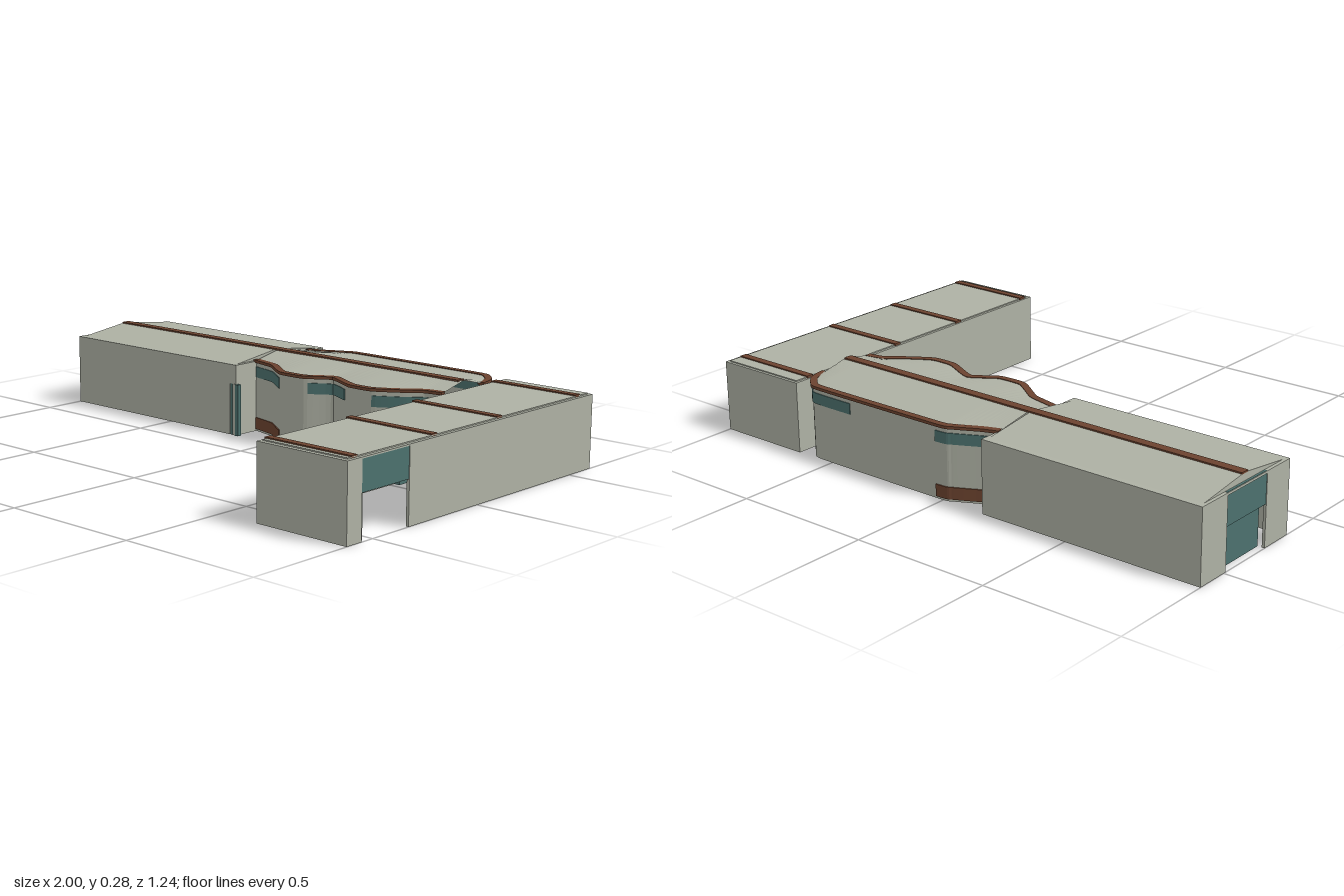
import * as THREE from 'three';

const make = (name, color) => new THREE.MeshStandardMaterial({ name, color, side: THREE.DoubleSide });

export function createModel() {
  const group = new THREE.Group();
  const grey = make('warm grey', 0xaeb1a4);
  const brown = make('rust brown', 0x6c432f);
  const teal = make('dark teal', 0x4c716e);

  const add = (name, geo, mat) => {
    const m = new THREE.Mesh(geo, mat);
    m.name = name;
    group.add(m);
    return m;
  };
  // Box from its limits
  const box = (name, mat, x0, x1, y0, y1, z0, z1) => {
    const g = new THREE.BoxGeometry(x1 - x0, y1 - y0, z1 - z0);
    g.translate((x0 + x1) / 2, (y0 + y1) / 2, (z0 + z1) / 2);
    return add(name, g, mat);
  };
  // Upright strip of thickness t that follows a plan path of [x, z] points
  const strip = (name, mat, pts, t, y0, y1) => {
    const side = s => pts.map((p, i) => {
      const a = pts[Math.max(0, i - 1)], b = pts[Math.min(pts.length - 1, i + 1)];
      const dx = b[0] - a[0], dz = b[1] - a[1], l = Math.hypot(dx, dz);
      return new THREE.Vector2(p[0] - s * dz / l * t / 2, -(p[1] + s * dx / l * t / 2));
    });
    const shape = new THREE.Shape([...side(1), ...side(-1).reverse()]);
    const g = new THREE.ExtrudeGeometry(shape, { depth: y1 - y0, bevelEnabled: false });
    g.rotateX(-Math.PI / 2).translate(0, y0, 0);
    return add(name, g, mat);
  };
  const smooth = (pts, n) => new THREE.CatmullRomCurve3(
    pts.map(p => new THREE.Vector3(p[0], 0, p[1])), false, 'catmullrom', 0.25)
    .getPoints(n).map(v => [v.x, v.z]);

  const W = 0.01, H = 0.25, RIDGE = -0.385;

  // West hall: walls, with openings in both ends
  box('hallBackWall', grey, -1, -0.17, 0, H, -0.62, -0.62 + W);
  box('hallFrontWall', grey, -1, -0.2, 0, H, -0.155 - W, -0.155);
  box('hallFrontLintel', grey, -0.2, -0.17, 0.185, H, -0.155 - W, -0.155);
  for (const x of [-1, -0.18]) {
    box('hallEndWall', grey, x, x + W, 0, H, -0.62, -0.49);
    box('hallEndWall', grey, x, x + W, 0, H, -0.28, -0.165);
  }
  box('hallEndGlazing', teal, -0.998, -0.99, 0.145, H + 0.005, -0.49, -0.28);
  box('hallEndDoor', teal, -0.975, -0.967, 0, 0.15, -0.49, -0.28);
  box('hallInnerGlazing', teal, -0.178, -0.17, 0.14, H + 0.005, -0.49, -0.28);
  box('cornerDoor', teal, -0.2, -0.185, 0, 0.185, -0.165, -0.157);
  box('cornerPost', grey, -0.185, -0.17, 0, 0.185, -0.165, -0.153);
  box('cornerDoorEdge', teal, -0.17, -0.157, 0, 0.185, -0.165, -0.15);

  // Hall roof: shallow gable standing on a thin eave plate
  box('hallEave', grey, -1, -0.17, H - 0.004, H + 0.004, -0.62, -0.155);
  const gable = new THREE.Shape([[0.161, 0.252], [0.365, 0.279], [0.405, 0.279], [0.613, 0.252]]
    .map(p => new THREE.Vector2(...p)));
  const gableGeo = new THREE.ExtrudeGeometry(gable, { depth: 0.805, bevelEnabled: false });
  gableGeo.rotateY(-Math.PI / 2).rotateY(Math.PI);
  gableGeo.translate(-0.988, 0, 0);
  add('hallRoof', gableGeo, grey);
  box('ridgeStripe', brown, -0.988, 0.64, 0.278, 0.284, RIDGE - 0.016, RIDGE + 0.016);

  // Hall interior: shelves, counter and tables
  for (const y of [0.09, 0.15]) box('shelf', brown, -0.6, -0.32, y, y + 0.012, -0.2, -0.165);
  for (const x of [-0.58, -0.46, -0.34]) box('shelfPost', teal, x - 0.015, x + 0.015, 0, 0.16, -0.185, -0.165);
  for (let i = 0; i < 4; i++) box('table', brown, -0.64 - i * 0.095, -0.58 - i * 0.095, 0.07, 0.08, -0.53, -0.47);

  // Winding middle building
  const front = smooth([[-0.175, -0.265], [-0.11, -0.25], [-0.06, -0.235], [0.04, -0.167], [0.14, -0.167],
    [0.23, -0.222], [0.35, -0.167], [0.44, -0.167], [0.53, -0.222], [0.585, -0.265], [0.65, -0.278]], 60);
  const back = smooth([[-0.175, -0.535], [-0.12, -0.555], [-0.03, -0.6], [0.02, -0.61], [0.54, -0.61],
    [0.59, -0.595], [0.625, -0.56], [0.64, -0.52], [0.645, -0.49]], 50);
  const between = (path, a, b) => path.filter(p => p[0] >= a && p[0] <= b);
  strip('middleFrontWall', grey, front, 0.01, 0, H);
  strip('middleBackWall', grey, back, 0.01, 0, H);
  for (const path of [front, back]) strip('coping', brown, path, 0.024, H, H + 0.01);

  // Window bands and plinths
  for (const [a, b] of [[-0.17, 0.035], [0.145, 0.335], [0.435, 0.645]]) {
    strip('windowBand', teal, between(front, a, b), 0.016, 0.197, 0.235);
    strip('plinth', brown, between(front, a, b), 0.018, 0.008, 0.05);
  }
  strip('windowBand', teal, between(back, -0.17, 0.05), 0.016, 0.197, 0.235);
  strip('windowBand', teal, between(back, 0.4, 0.65), 0.016, 0.197, 0.235);
  strip('plinth', brown, between(back, -0.17, 0.05), 0.018, 0.008, 0.05);

  // Middle roof: surfaces running from each winding edge up to the ridge
  const loft = (path, flip) => {
    const v = [];
    for (let i = 0; i + 1 < path.length; i++) {
      const [p, q] = flip ? [path[i + 1], path[i]] : [path[i], path[i + 1]];
      const a = [p[0], 0.256, p[1]], b = [q[0], 0.256, q[1]];
      const c = [q[0], 0.281, RIDGE], d = [p[0], 0.281, RIDGE];
      v.push(...a, ...b, ...c, ...a, ...c, ...d);
    }
    const g = new THREE.BufferGeometry();
    g.setAttribute('position', new THREE.Float32BufferAttribute(v, 3));
    g.computeVertexNormals();
    add('middleRoof', g, grey);
  };
  loft(front, false);
  loft(back, true);

  // East wing: walls with a side entrance and a passage to the middle
  box('wingBackWall', grey, 0.65, 1, 0, H, -0.62, -0.62 + W);
  box('wingFrontWall', grey, 0.65, 1, 0, H, 0.615 - W, 0.615);
  box('wingOuterWall', grey, 1 - W, 1, 0, H, -0.61, 0.335);
  box('wingOuterWall', grey, 1 - W, 1, 0, H, 0.55, 0.605);
  box('entranceJamb', grey, 0.965, 0.99, 0, H, 0.535, 0.55);
  box('entranceGlazing', teal, 0.99, 0.998, 0.145, H, 0.335, 0.55);
  box('wingInnerWall', grey, 0.65, 0.65 + W, 0, H, -0.61, -0.49);
  box('wingInnerWall', grey, 0.65, 0.65 + W, 0, H, -0.278, 0.605);
  box('passageLintel', grey, 0.65, 0.65 + W, 0.2, H, -0.49, -0.278);

  // Wing roof with cross stripes
  box('wingRoof', grey, 0.65, 1, H - 0.004, H + 0.001, -0.62, 0.615);
  box('wingRoofPanel', grey, 0.66, 0.988, H, 0.255, -0.61, 0.6);
  for (const z of [-0.55, -0.12, 0.205, 0.572]) box('roofStripe', brown, 0.655, 0.988, H, 0.259, z - 0.013, z + 0.013);

  // Wing interior: curved screen and pillars
  const screen = new THREE.CylinderGeometry(0.1, 0.1, 0.19, 20, 1, true, 0, Math.PI);
  screen.scale(0.4, 1, 1).translate(0.66, 0.095, 0.435);
  add('curvedScreen', screen, teal);
  for (const z of [0.28, -0.04, -0.1]) {
    box('pillar', teal, 0.66, 0.68, 0, 0.2, z - 0.02, z + 0.02);
    box('pillarCap', brown, 0.66, 0.69, 0.2, 0.215, z - 0.03, z + 0.03);
  }
  return group;
}
